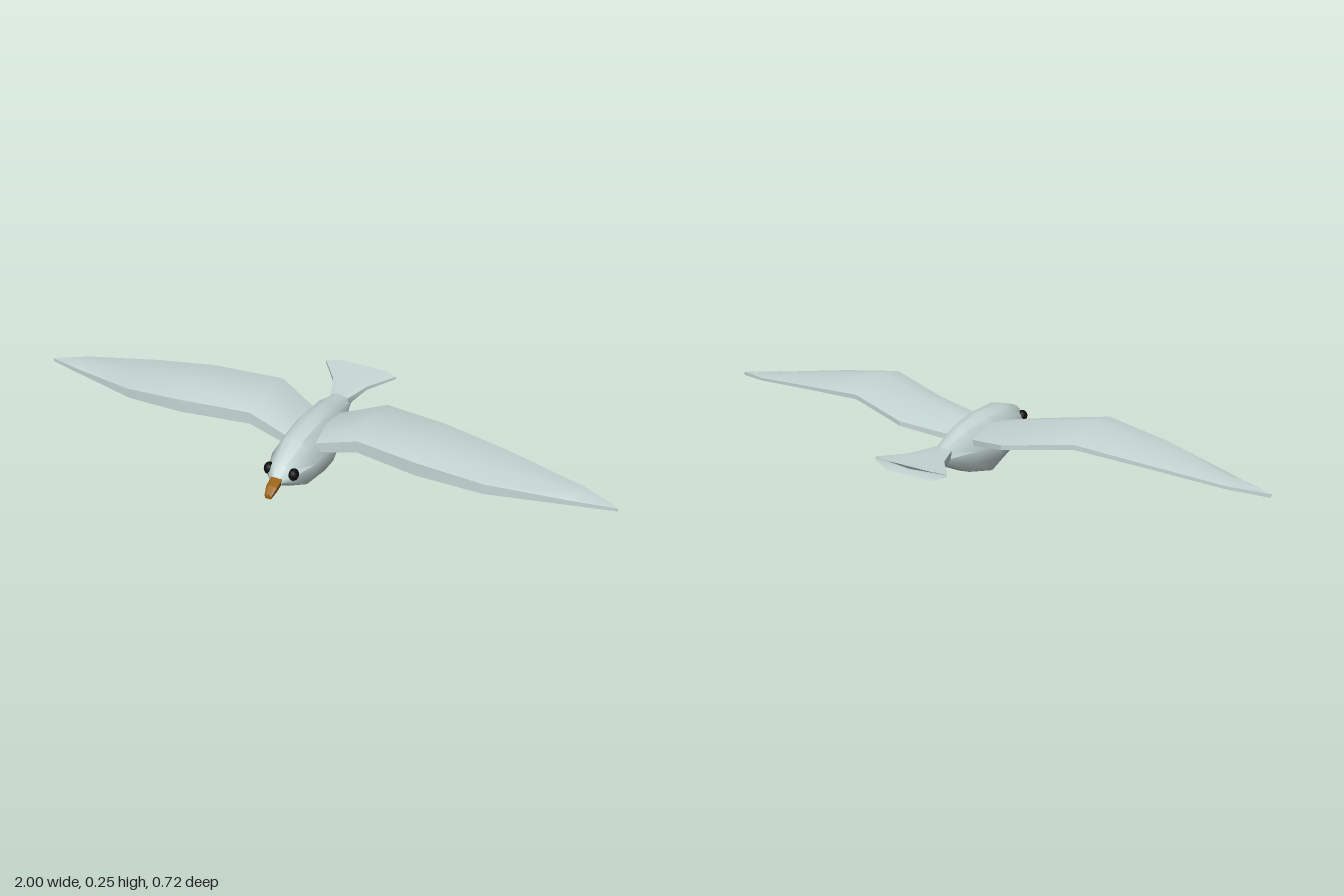
import * as THREE from 'three';
import { toCreasedNormals } from 'three/addons/utils/BufferGeometryUtils.js';

const plumage = new THREE.MeshStandardMaterial({ color: 0xc4d6d4 });
const horn = new THREE.MeshStandardMaterial({ color: 0x9a6414 });
const black = new THREE.MeshStandardMaterial({ color: 0x0a0a0a });

// Skins a closed, capped solid over equal-length rings of [x, y, z] points.
function loft(rings, crease = 0.6) {
  const n = rings[0].length;
  const tris = [];
  for (let i = 0; i < rings.length - 1; i++) {
    for (let j = 0; j < n; j++) {
      const k = (j + 1) % n;
      const [a, b, c, d] = [rings[i][j], rings[i][k], rings[i + 1][k], rings[i + 1][j]];
      tris.push([a, b, c], [a, c, d]);
    }
  }
  const cap = (ring, flip) => {
    const mid = [0, 1, 2].map((axis) => ring.reduce((s, p) => s + p[axis], 0) / n);
    ring.forEach((p, j) => {
      const q = ring[(j + 1) % n];
      tris.push(flip ? [mid, q, p] : [mid, p, q]);
    });
  };
  cap(rings[0], true);
  cap(rings[rings.length - 1], false);

  // Turn all faces outward, judged by the signed volume
  const V = (p) => new THREE.Vector3(...p);
  const volume = tris.reduce((s, [a, b, c]) => s + V(a).dot(V(b).cross(V(c))), 0);
  if (volume < 0) tris.forEach((t) => t.reverse());
  const geometry = new THREE.BufferGeometry();
  geometry.setAttribute('position', new THREE.Float32BufferAttribute(tris.flat(2), 3));
  return toCreasedNormals(geometry, crease);
}

function part(name, geometry, material) {
  const mesh = new THREE.Mesh(geometry, material);
  mesh.name = name;
  return mesh;
}

// Body: narrow rounded back, wide belly, flat keel
function bodyGeometry() {
  const half = [[0.4, 0.96], [0.65, 0.82], [1, 0.54], [0.95, 0.27], [0.6, 0.03]];
  const section = [[0, 1], ...half, [0, 0], ...half.map(([x, y]) => [-x, y]).reverse()];
  // z, half width, bottom, top
  const stations = [
    [0.303, 0.02, 0.1, 0.127],
    [0.275, 0.046, 0.082, 0.158],
    [0.18, 0.076, 0.027, 0.195],
    [0.055, 0.085, 0, 0.202],
    [-0.07, 0.066, 0.04, 0.19],
    [-0.175, 0.036, 0.096, 0.155],
    [-0.21, 0.03, 0.112, 0.154],
  ];
  return loft(stations.map(([z, w, bottom, top]) =>
    section.map(([x, y]) => [x * w, bottom + y * (top - bottom), z])), 0.7);
}

// Tail: flat fan, thick along the middle, with a bowed rear edge
function tailGeometry() {
  // z at middle, z at edge, half width, top, edge bottom, middle bottom
  const stations = [
    [-0.165, -0.165, 0.032, 0.155, 0.125, 0.1],
    [-0.255, -0.255, 0.063, 0.159, 0.142, 0.12],
    [-0.36, -0.345, 0.132, 0.165, 0.152, 0.133],
  ];
  return loft(stations.map(([zm, ze, w, top, edge, bottom]) => [
    [-w, top - 0.004, ze], [-0.6 * w, top, zm], [0.6 * w, top, zm], [w, top - 0.004, ze],
    [w, edge, ze], [0.6 * w, bottom, zm], [-0.6 * w, bottom, zm], [-w, edge, ze],
  ]));
}

// Wing: blunt leading edge, raised ridge, thin trailing edge
function wingGeometry(side) {
  // x, lead z, lead top, lead bottom, ridge z, ridge y, trail z, trail top, trail bottom
  const stations = [
    [0.04, 0.132, 0.158, 0.125, 0.04, 0.175, -0.062, 0.155, 0.135],
    [0.19, 0.115, 0.2, 0.157, 0.03, 0.222, -0.128, 0.192, 0.176],
    [0.41, 0.183, 0.229, 0.183, 0.09, 0.25, -0.066, 0.22, 0.204],
    [0.62, 0.16, 0.2, 0.165, 0.07, 0.214, -0.042, 0.2, 0.188],
    [0.88, 0.083, 0.168, 0.152, 0.045, 0.175, 0, 0.17, 0.16],
    [1, 0.046, 0.157, 0.145, 0.045, 0.158, 0.044, 0.157, 0.145],
  ];
  return loft(stations.map(([x, lz, lt, lb, rz, ry, tz, tt, tb]) => [
    [x * side, lt, lz], [x * side, ry, rz], [x * side, tt, tz],
    [x * side, tb, tz], [x * side, lb, lz],
  ]));
}

// Beak: bent down, with a blunt tip
function beakGeometry() {
  // z at top, z at bottom, half width, top, bottom
  const stations = [
    [0.295, 0.292, 0.019, 0.127, 0.101],
    [0.336, 0.33, 0.018, 0.116, 0.092],
    [0.36, 0.36, 0.012, 0.098, 0.083],
  ];
  return loft(stations.map(([zt, zb, w, top, bottom]) => [
    [-w, top - 0.004, zt], [-0.5 * w, top, zt], [0.5 * w, top, zt], [w, top - 0.004, zt],
    [0.8 * w, bottom, zb], [-0.8 * w, bottom, zb],
  ]), 0.3);
}

export function createModel() {
  const bird = new THREE.Group();
  bird.name = 'bird';
  bird.add(
    part('body', bodyGeometry(), plumage),
    part('tail', tailGeometry(), plumage),
    part('beak', beakGeometry(), horn),
  );
  // Wings and eyes, mirrored
  for (const [label, side] of [['left', 1], ['right', -1]]) {
    bird.add(part(label + 'Wing', wingGeometry(side), plumage));
    const eye = part(label + 'Eye', new THREE.SphereGeometry(0.02, 12, 8), black);
    eye.position.set(0.042 * side, 0.127, 0.267);
    eye.scale.x = 0.85;
    bird.add(eye);
  }
  return bird;
}
